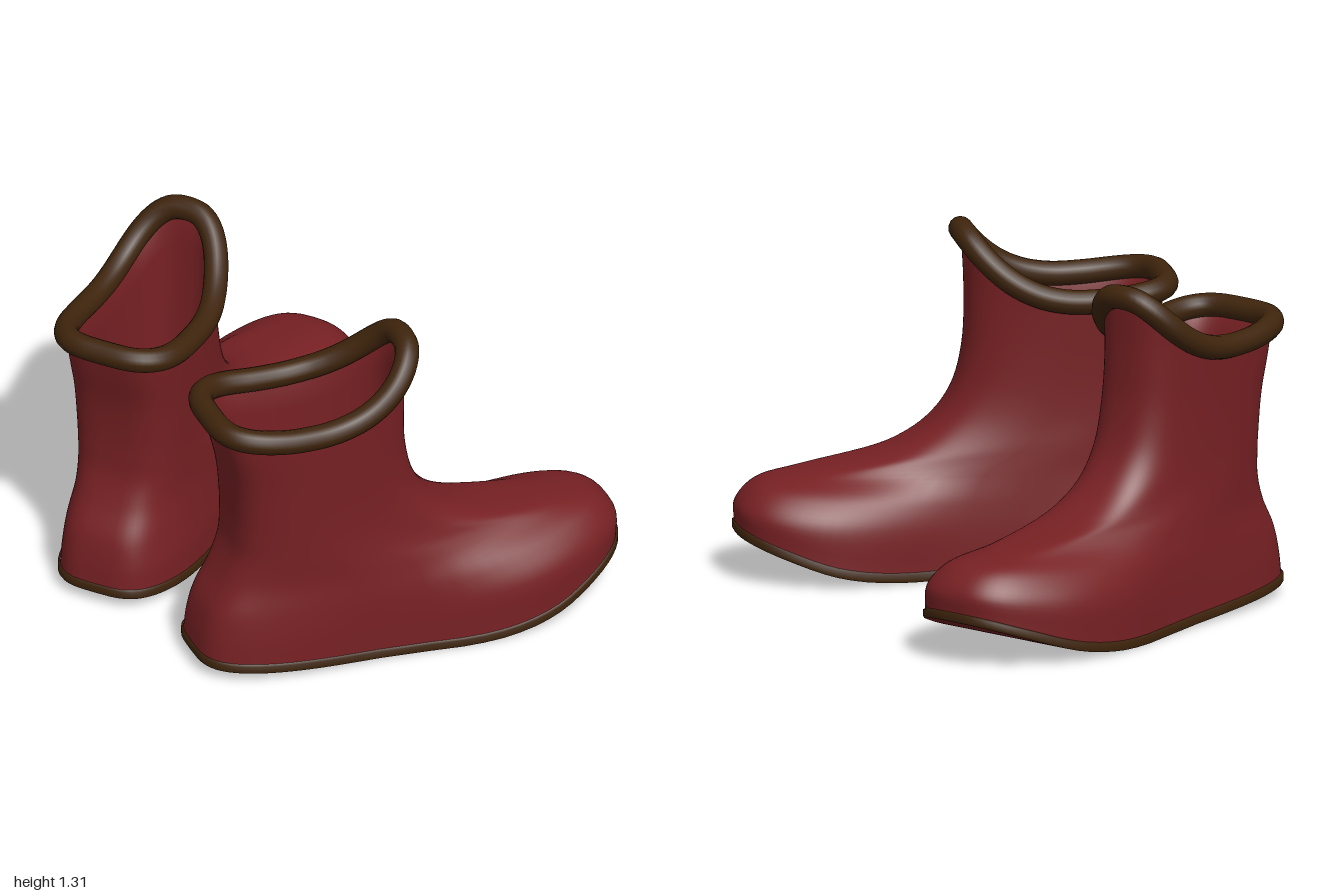
import * as THREE from 'three';

const red = new THREE.MeshStandardMaterial({ color: 0x762023 });
red.name = 'red rubber';
const brown = new THREE.MeshStandardMaterial({ color: 0x3e240c });
brown.name = 'brown trim';

const COLS = 80;
const SPLAY = THREE.MathUtils.degToRad(20);
const { lerp, clamp, smoothstep } = THREE.MathUtils;

// Boot space (u heel to toe, y up, v across) to model space; s = 1 or -1 picks the boot
const place = (u, y, v, s) => new THREE.Vector3(
  u * Math.cos(SPLAY) - v * Math.sin(SPLAY), y,
  s * (u * Math.sin(SPLAY) + v * Math.cos(SPLAY)));

// Smooth change from back over middle to front
const blend = ([back, mid, front], f, from, to) =>
  lerp(lerp(back, mid, smoothstep(f, 0.1, 0.45)), front, smoothstep(f, from, to));

// Closed ring: squarish back, rounder front; w is half width, c the centre line
function ring({ u: [uB, uF], w, c, y }, s, squash = 1) {
  const pts = [];
  for (let j = 0; j < COLS; j++) {
    const a = (j / COLS) * Math.PI * 2;
    const co = Math.cos(a), si = Math.sin(a);
    const p = 2 / (co < 0 ? 3.5 : 2.6);
    const u = (uB + uF) / 2 + (uF - uB) / 2 * Math.sign(co) * Math.abs(co) ** p;
    const f = clamp((u - uB) / (uF - uB), 0, 1);
    const half = blend(w, f, 0.4, 0.85) * squash;
    const v = blend(c, f, 0.5, 1) + half * Math.sign(si) * Math.abs(si) ** p;
    pts.push(place(u, y(f, u), v, s));
  }
  return pts;
}

// Skin over rings; faces outward when the rings run upward
function skin(rows, flip) {
  const pos = [], idx = [];
  rows.forEach(r => r.forEach(p => pos.push(p.x, p.y, p.z)));
  for (let i = 0; i < rows.length - 1; i++) {
    for (let j = 0; j < COLS; j++) {
      const a = i * COLS + j, b = i * COLS + (j + 1) % COLS;
      const c = a + COLS, d = b + COLS;
      if (flip) idx.push(a, b, c, b, d, c);
      else idx.push(a, c, b, b, c, d);
    }
  }
  const g = new THREE.BufferGeometry();
  g.setAttribute('position', new THREE.Float32BufferAttribute(pos, 3));
  g.setIndex(idx);
  g.computeVertexNormals();
  return g;
}

// Extra rings by a smooth curve through each column
function smoothRows(rows, count) {
  const curves = rows[0].map((_, j) =>
    new THREE.CatmullRomCurve3(rows.map(r => r[j]), false, 'centripetal'));
  return Array.from({ length: count + 1 }, (_, i) => curves.map(c => c.getPoint(i / count)));
}

// Height of the sole's underside along the foot (toe springs up)
const solePts = new THREE.SplineCurve([
  [-0.7, 0.047], [-0.2, 0.02], [0.1, 0.005], [0.3, 0], [0.5, 0.01],
  [0.7, 0.045], [0.9, 0.115], [1.08, 0.185]].map(p => new THREE.Vector2(...p))).getPoints(100);
function soleY(u) {
  const i = Math.max(1, solePts.findIndex(p => p.x >= u));
  const a = solePts[i - 1], b = solePts[i];
  return lerp(a.y, b.y, (u - a.x) / (b.x - a.x));
}

const rise = (back, front) => f => lerp(back, front, f ** 2.5);
const cuffY = f => 1.062 - 0.1 * f + 0.298 * f ** 4;

const soleRing = (lift, grow = 0) => ({
  u: [-0.665 - grow, 1.035 + grow], w: [0.27 + grow, 0.245 + grow, 0.35 + grow],
  c: [0.527, 0.545, 0.47], y: (f, u) => soleY(u) + lift,
});
const topRing = { u: [-0.592, 0.16], w: [0.236, 0.228, 0.21], c: [0.53, 0.54, 0.575], y: cuffY };

// Foot and shaft from the welt upward
const upperRings = [
  soleRing(0.03),
  { u: [-0.655, 1.035], w: [0.265, 0.243, 0.338], c: [0.527, 0.545, 0.47], y: rise(0.16, 0.275) },
  { u: [-0.63, 0.965], w: [0.25, 0.24, 0.28], c: [0.53, 0.545, 0.48], y: rise(0.26, 0.352) },
  { u: [-0.57, 0.82], w: [0.235, 0.233, 0.188], c: [0.53, 0.543, 0.505], y: rise(0.375, 0.388) },
  { u: [-0.53, 0.47], w: [0.228, 0.226, 0.195], c: [0.53, 0.54, 0.535], y: rise(0.48, 0.45) },
  { u: [-0.522, 0.3], w: [0.225, 0.22, 0.2], c: [0.53, 0.54, 0.55], y: rise(0.57, 0.54) },
  { u: [-0.522, 0.205], w: [0.225, 0.218, 0.203], c: [0.53, 0.54, 0.555], y: rise(0.66, 0.66) },
  { u: [-0.535, 0.16], w: [0.228, 0.22, 0.205], c: [0.53, 0.54, 0.56], y: rise(0.8, 0.82) },
  { u: [-0.57, 0.15], w: [0.235, 0.226, 0.208], c: [0.53, 0.54, 0.57], y: rise(0.95, 1.03) },
  topRing,
];

function createBoot(s) {
  const boot = new THREE.Group();
  boot.name = s > 0 ? 'frontBoot' : 'backBoot';
  const add = (name, geo, mat) => {
    const m = new THREE.Mesh(geo, mat);
    m.name = name;
    boot.add(m);
  };
  const flip = s < 0;

  add('upper', skin(smoothRows(upperRings.map(r => ring(r, s)), 54), flip), red);

  // Underside, from its centre line out to the edge
  add('soleUnderside', skin([0, 0.35, 0.7, 1].map(q => ring(soleRing(0, 0.004), s, q)), flip), red);

  // Thin welt around the sole, closed over the top edge
  add('soleBand', skin([soleRing(0, 0.004), soleRing(0.006, 0.008), soleRing(0.03, 0.008),
    soleRing(0.037, 0)].map(r => ring(r, s)), flip), brown);

  // Inside of the shaft, running down to its floor
  const wall = { u: [-0.5, 0.12], w: [0.195, 0.19, 0.17], c: [0.53, 0.54, 0.56] };
  const low = { ...wall, y: () => 0.15 };
  add('lining', skin([ring(topRing, s), ring({ ...wall, y: f => cuffY(f) - 0.13 }, s),
    ring(low, s)], flip), red);
  add('insole', skin([0, 0.5, 1].map(q => ring(low, s, q)), !flip), red);

  // Rolled cuff
  const path = new THREE.CatmullRomCurve3(ring(topRing, s).filter((_, j) => j % 2 === 0), true);
  add('cuff', new THREE.TubeGeometry(path, 120, 0.046, 14, true), brown);
  return boot;
}

export function createModel() {
  const model = new THREE.Group();
  model.name = 'pairOfBoots';
  model.add(createBoot(1), createBoot(-1));
  return model;
}
